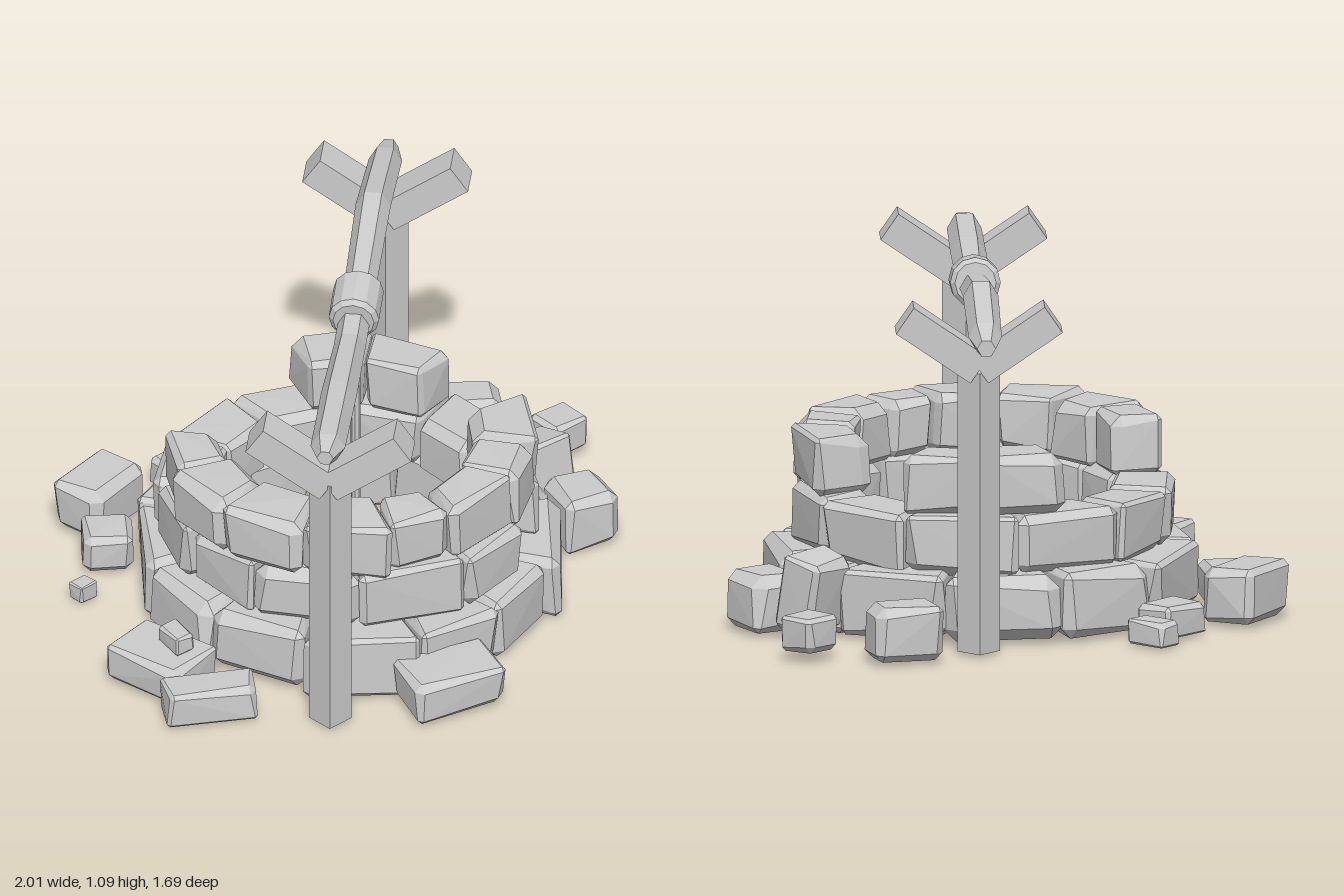
import * as THREE from 'three';
import { ConvexGeometry } from 'three/addons/geometries/ConvexGeometry.js';

const material = new THREE.MeshStandardMaterial({ color: 0xcccccc, flatShading: true });

// Small seeded generator, returns -1..1
let seed = 7;
function jitter() {
  seed = (seed * 16807) % 2147483647;
  return (seed / 2147483647) * 2 - 1;
}

function addMesh(parent, geometry, name) {
  const mesh = new THREE.Mesh(geometry, material);
  mesh.name = name;
  parent.add(mesh);
  return mesh;
}

// Rough-hewn block: each corner is cut by an uneven chamfer, taper narrows the -z side
function stoneGeometry(w, h, d, taper = 1) {
  const size = [w, h, d];
  const small = Math.min(w, h, d);
  const points = [];
  for (const sx of [-1, 1]) for (const sy of [-1, 1]) for (const sz of [-1, 1]) {
    const bump = [jitter(), jitter(), jitter()].map((j) => 1 - 0.045 * (1 + j));
    const cut = small * (0.13 + 0.08 * jitter());
    for (let axis = 0; axis < 3; axis++) {
      const p = [sx, sy, sz].map((s, i) => s * (size[i] / 2 * bump[i] - (i === axis ? 0 : cut)));
      if (sz < 0) p[0] *= taper;
      points.push(new THREE.Vector3(...p));
    }
  }
  return new ConvexGeometry(points);
}

// Course of wedge stones from angle a0 to a1 (degrees, from +x towards +z)
function addArc(parent, name, a0, a1, count, y0, y1, rIn, rOut) {
  const weights = Array.from({ length: count }, () => 1 + 0.22 * jitter());
  const total = weights.reduce((a, b) => a + b, 0);
  let start = a0;
  for (const weight of weights) {
    const sweep = (a1 - a0) * weight / total;
    const angle = THREE.MathUtils.degToRad(start + sweep / 2);
    const half = THREE.MathUtils.degToRad(sweep / 2);
    const outer = rOut + 0.02 * jitter();
    const inner = rIn + 0.015 * jitter();
    const mid = (outer * Math.cos(half * 0.7) + inner) / 2;
    const stone = addMesh(parent, stoneGeometry(2 * outer * Math.sin(half) * 1.03, y1 - y0, outer - inner, inner / outer * 1.05), name);
    stone.position.set(mid * Math.cos(angle), (y0 + y1) / 2 + 0.004 * jitter(), mid * Math.sin(angle));
    stone.rotation.set(0, Math.PI / 2 - angle, 0.03 * jitter());
    start += sweep;
  }
}

function buildWall() {
  const wall = new THREE.Group();
  wall.name = 'stoneWall';
  wall.position.set(-0.04, 0, 0.05);
  addArc(wall, 'bottomCourseStone', 10, 370, 12, 0.008, 0.217, 0.425, 0.635);
  // Middle course has one stone missing
  addArc(wall, 'middleCourseStone', 76, 415, 11, 0.2, 0.392, 0.38, 0.572);
  // Top course is broken into two runs
  addArc(wall, 'topCourseStone', 29, 231, 8, 0.378, 0.567, 0.375, 0.562);
  addArc(wall, 'topCourseStone', -58, -5, 2, 0.378, 0.567, 0.375, 0.555);
  return wall;
}

// Fallen stones: x, y, z, width, height, depth, turn, tilt
const RUBBLE = [
  [-0.235, 0.095, -0.755, 0.26, 0.175, 0.18, 0.05, 0],
  [-0.40, 0.07, -0.59, 0.16, 0.13, 0.16, 0.75, 0],
  [-0.60, 0.035, -0.52, 0.07, 0.06, 0.06, -0.1, 0],
  [0.08, 0.06, -0.685, 0.18, 0.10, 0.14, -0.2, 0],
  [0.225, 0.045, -0.71, 0.09, 0.08, 0.14, -0.1, 0],
  [-0.81, 0.07, -0.045, 0.21, 0.13, 0.29, 0.03, 0],
  [-0.78, 0.16, -0.01, 0.07, 0.06, 0.11, -0.3, 0],
  [-0.86, 0.065, 0.185, 0.29, 0.115, 0.13, -0.66, 0],
  [-0.35, 0.075, 0.695, 0.30, 0.14, 0.20, -0.45, 0],
  [0.62, 0.095, 0.41, 0.19, 0.18, 0.21, -0.45, 0],
  [0.64, 0.14, 0.225, 0.19, 0.24, 0.14, -0.15, -0.2],
  [0.925, 0.085, 0.07, 0.14, 0.115, 0.13, -0.2, 0],
  [0.805, 0.095, -0.185, 0.22, 0.175, 0.16, -0.75, 0],
];

function buildRubble() {
  const rubble = new THREE.Group();
  rubble.name = 'fallenStones';
  for (const [x, y, z, w, h, d, turn, tilt] of RUBBLE) {
    const stone = addMesh(rubble, stoneGeometry(w, h, d), 'fallenStone');
    stone.position.set(x, y, z);
    stone.rotation.set(tilt, turn, 0, 'YXZ');
  }
  return rubble;
}

const BEAM_TURN = 0.58;

// Square post with a two-armed fork set across the beam
function buildPost(x, z, turn, forkHeight) {
  const support = new THREE.Group();
  support.name = 'forkedPost';
  support.position.set(x, 0, z);
  const post = addMesh(support, new THREE.BoxGeometry(0.09, 0.86, 0.09), 'post');
  post.position.y = 0.44;
  post.rotation.y = turn;
  const fork = new THREE.Group();
  fork.name = 'fork';
  fork.position.y = forkHeight;
  fork.rotation.y = BEAM_TURN;
  support.add(fork);
  const slope = 0.6;
  for (const side of [-1, 1]) {
    const arm = addMesh(fork, new THREE.BoxGeometry(0.115, 0.095, 0.27), 'forkArm');
    arm.position.set(0, 0.135 * Math.sin(slope), side * 0.135 * Math.cos(slope));
    arm.rotation.x = -side * slope;
  }
  return support;
}

// Crooked six-sided log; stations give distance along, height, radius
function beamGeometry() {
  const stations = [
    [-0.89, 1.0, 0.025], [-0.81, 0.99, 0.052], [-0.5, 0.98, 0.054], [-0.2, 0.96, 0.048],
    [0.05, 0.985, 0.048], [0.45, 1.045, 0.053], [0.79, 0.99, 0.05], [0.89, 0.975, 0.028],
  ];
  const last = stations.length - 1;
  const geometry = new THREE.CylinderGeometry(1, 1, last, 6, last);
  const p = geometry.attributes.position;
  for (let i = 0; i < p.count; i++) {
    const [along, height, radius] = stations[Math.round(p.getY(i) + last / 2)];
    p.setXYZ(i, along, height - p.getX(i) * radius, p.getZ(i) * radius);
  }
  geometry.computeVertexNormals();
  return geometry;
}

function buildWinch() {
  const winch = new THREE.Group();
  winch.name = 'winch';
  winch.position.set(0.003, 0, 0.047);
  winch.rotation.y = BEAM_TURN;
  addMesh(winch, beamGeometry(), 'beam');
  // Band around the beam with bevelled rims
  const profile = [[0, -0.08], [0.062, -0.08], [0.076, -0.066], [0.076, 0.066], [0.062, 0.08], [0, 0.08]];
  const band = addMesh(winch, new THREE.LatheGeometry(profile.map((q) => new THREE.Vector2(...q)), 12), 'ropeBand');
  band.position.set(-0.02, 0.993, 0);
  band.rotation.z = -Math.PI / 2 + 0.13;
  const rope = addMesh(winch, new THREE.CylinderGeometry(0.015, 0.015, 0.97, 8), 'rope');
  rope.position.set(-0.037, 0.485, 0);
  return winch;
}

export function createModel() {
  const well = new THREE.Group();
  well.name = 'well';
  well.add(buildWall(), buildRubble(), buildWinch());
  well.add(buildPost(-0.65, 0.48, -0.12, 0.86), buildPost(0.592, -0.32, -0.18, 0.88));
  return well;
}
